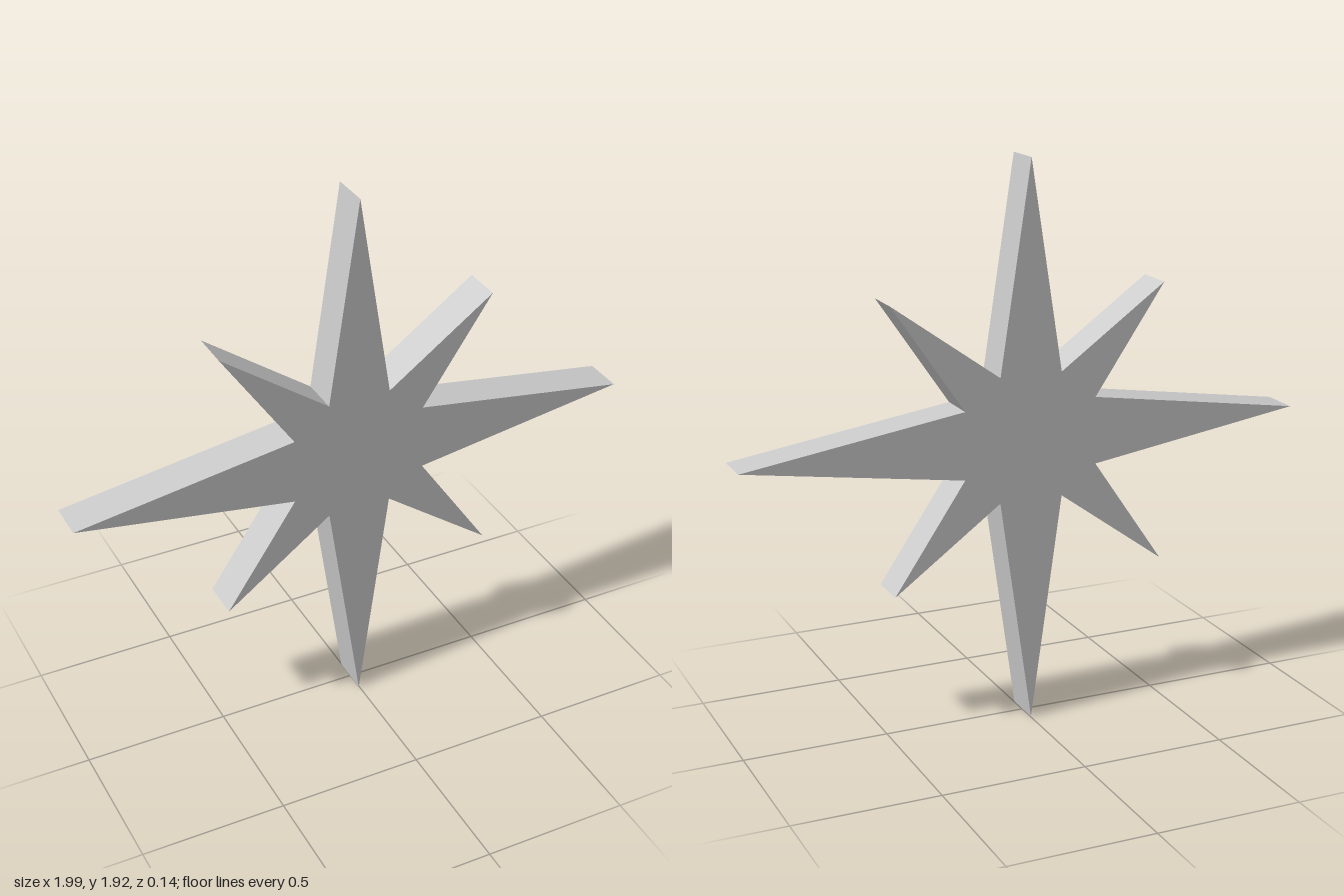
import * as THREE from 'three';

export function createModel() {
  const group = new THREE.Group();
  const depth = 0.14;
  const centreY = 0.997;

  // Right half of the outline, top tip to bottom tip, relative to the centre
  const half = [
    [0, 0.927], [0.11, 0.216], [0.486, 0.486], [0.235, 0.116], [0.997, 0],
    [0.237, -0.116], [0.488, -0.486], [0.112, -0.212], [0, -0.997],
  ];
  const mirrored = half.slice(1, -1).reverse().map(([x, y]) => [-x, y]);
  const outline = [...half, ...mirrored].map(([x, y]) => new THREE.Vector2(x - 0.002, y));

  // Flat eight-pointed star plate
  const geometry = new THREE.ExtrudeGeometry(new THREE.Shape(outline), {
    depth, bevelEnabled: false,
  });
  geometry.translate(0, centreY, -depth / 2);

  const star = new THREE.Mesh(
    geometry,
    new THREE.MeshStandardMaterial({ color: 0xcccccc, flatShading: true }),
  );
  star.name = 'eightPointedStar';
  group.add(star);
  return group;
}
